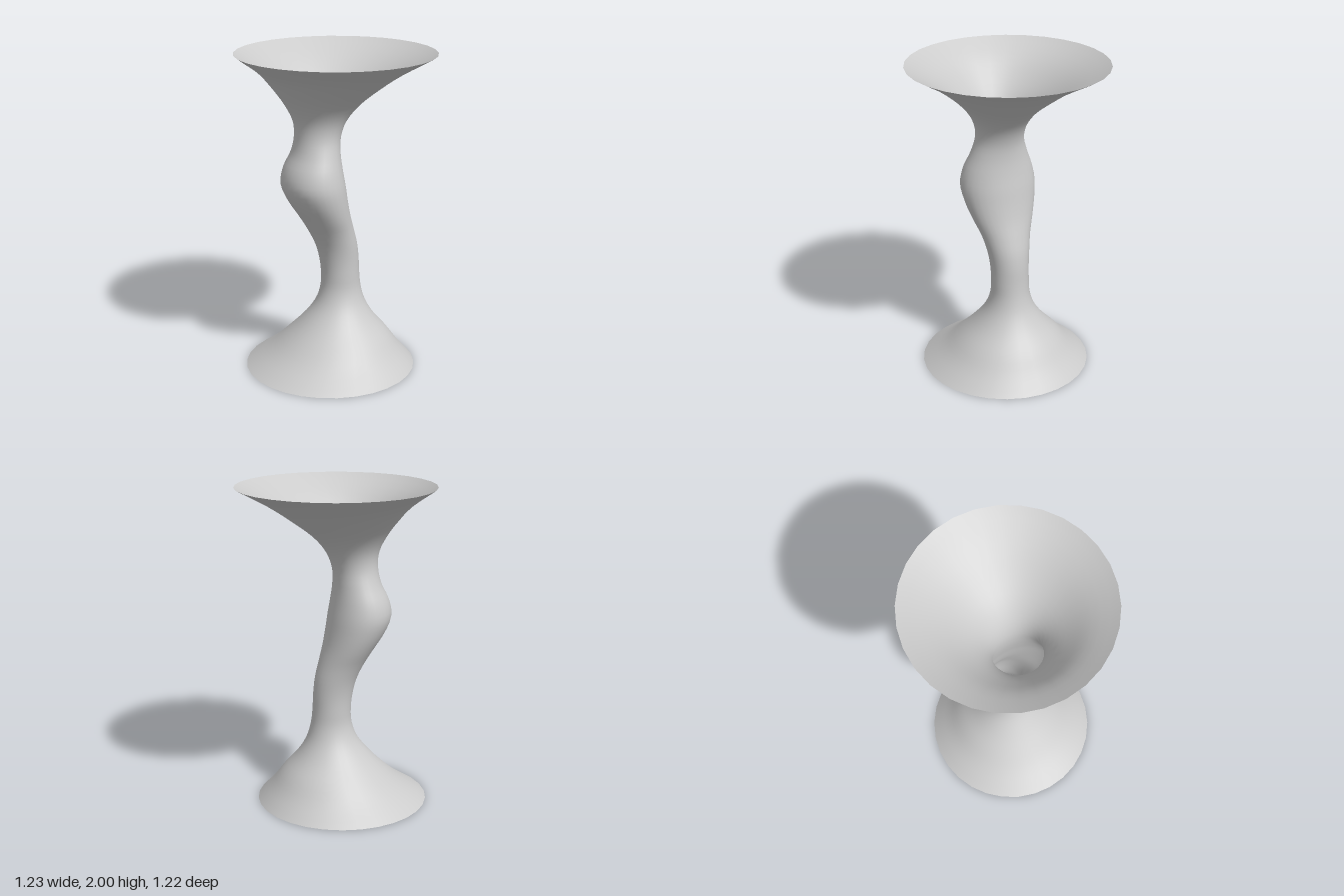
import * as THREE from 'three';

const SIDES = 30, ROWS = 60, HEIGHT = 2;

// Cross-sections every 0.1 in height: [left x, right x, half depth]
const SECTIONS = [
  [-0.58, 0.495, 0.537], [-0.43, 0.408, 0.418], [-0.315, 0.335, 0.325],
  [-0.217, 0.25, 0.23], [-0.14, 0.19, 0.16], [-0.102, 0.16, 0.125],
  [-0.095, 0.148, 0.12], [-0.106, 0.143, 0.122], [-0.132, 0.13, 0.135],
  [-0.18, 0.103, 0.16], [-0.24, 0.074, 0.198], [-0.305, 0.053, 0.228],
  [-0.347, 0.037, 0.241], [-0.332, 0.02, 0.222], [-0.285, 0.01, 0.182],
  [-0.265, 0.017, 0.153], [-0.273, 0.057, 0.164], [-0.322, 0.143, 0.222],
  [-0.393, 0.275, 0.322], [-0.48, 0.425, 0.448], [-0.615, 0.61, 0.612],
];

// Open tube of horizontal rings, smoothly interpolated between sections
function flaredTube() {
  const profile = new THREE.CatmullRomCurve3(
    SECTIONS.map((s) => new THREE.Vector3(...s)), false, 'catmullrom', 0.5);
  const positions = [], index = [];
  for (let i = 0; i <= ROWS; i++) {
    const t = i / ROWS;
    const { x: left, y: right, z: depth } = profile.getPoint(t);
    for (let j = 0; j < SIDES; j++) {
      const a = (j / SIDES) * Math.PI * 2;
      positions.push(
        (left + right) / 2 + (right - left) / 2 * Math.cos(a),
        t * HEIGHT,
        depth * Math.sin(a));
      if (i < ROWS) {
        const p = i * SIDES + j, q = i * SIDES + (j + 1) % SIDES;
        index.push(p, p + SIDES, q, q, p + SIDES, q + SIDES);
      }
    }
  }
  const geometry = new THREE.BufferGeometry();
  geometry.setAttribute('position', new THREE.Float32BufferAttribute(positions, 3));
  geometry.setIndex(index);
  geometry.computeVertexNormals();
  return geometry;
}

export function createModel() {
  const group = new THREE.Group();
  group.name = 'flaredStand';
  const material = new THREE.MeshStandardMaterial({ color: 0xcccccc, side: THREE.DoubleSide });
  const body = new THREE.Mesh(flaredTube(), material);
  body.name = 'hollowBody';
  group.add(body);
  return group;
}
